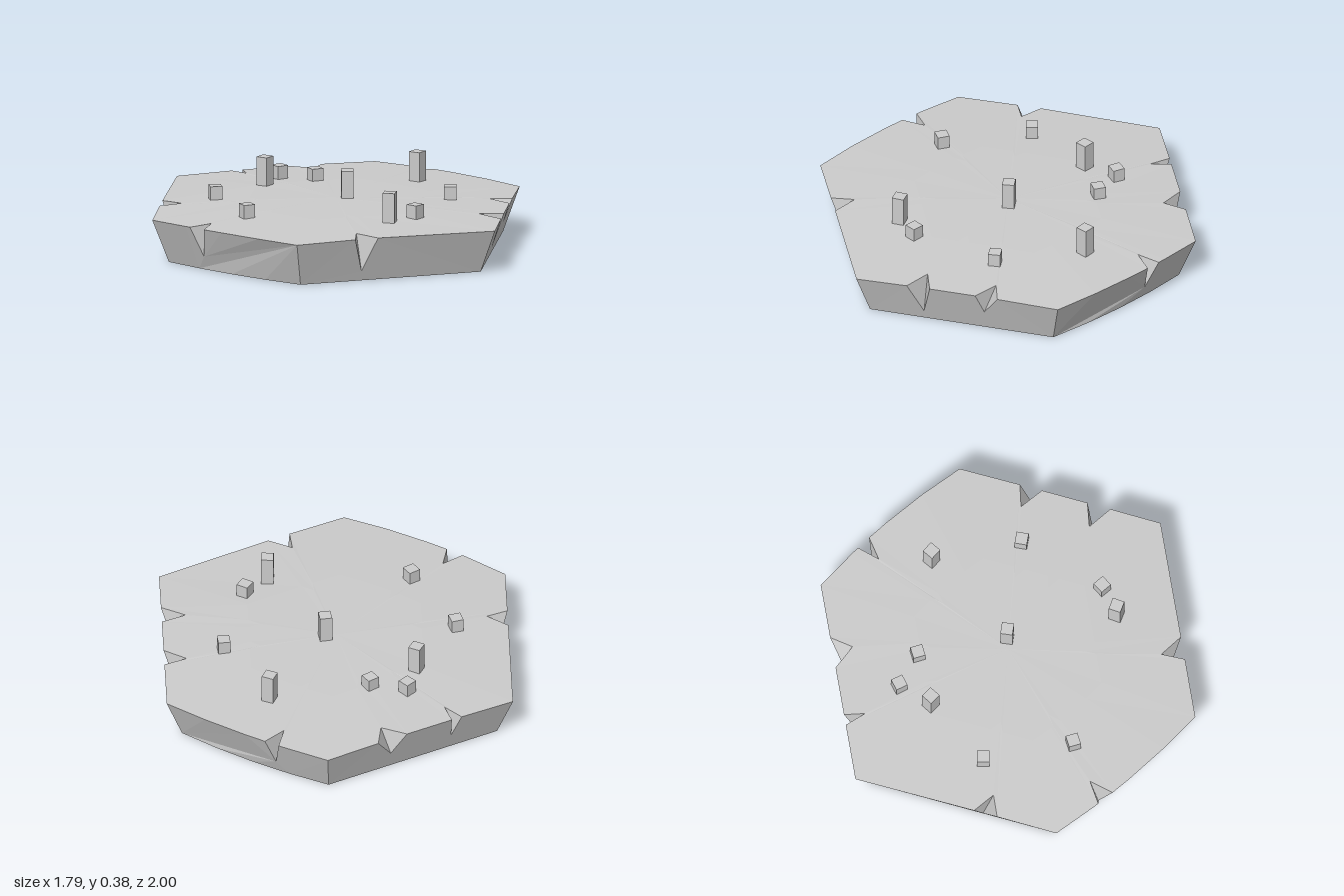
import * as THREE from 'three';

const HEX = [[0, 1], [0.865, 0.455], [0.865, -0.455], [0, -1], [-0.865, -0.455], [-0.865, 0.455]];
const BASE_SCALE = 0.91;

// Notches per hexagon edge: rim start u, rim end u, low point u, low point height, inner tip x, z
const NOTCHES = [
  [[0.25, 0.364, 0.305, 0.05, 0.215, 0.725], [0.59, 0.7, 0.63, 0.11, 0.515, 0.545]],
  [[0.626, 0.709, 0.67, 0.07, 0.775, -0.155]],
  [[0.272, 0.428, 0.355, 0.1, 0.52, -0.555], [0.67, 0.723, 0.7, 0.09, 0.22, -0.74]],
  [[0.59, 0.705, 0.627, 0.077, -0.515, -0.555]],
  [[0.28, 0.379, 0.32, 0.07, -0.775, -0.155]],
  [[0.295, 0.41, 0.335, 0.05, -0.515, 0.545]],
];

// Posts: x, z, top height, turn in degrees
const POSTS = [
  [0.045, 0.035, 0.38, 40], [0.035, -0.475, 0.38, 5], [-0.22, 0.515, 0.38, 28], [0.595, 0.03, 0.38, 7],
  [-0.58, -0.09, 0.3, -25], [-0.35, -0.475, 0.3, -42], [-0.07, 0.555, 0.3, 0],
  [0.21, -0.525, 0.3, -15], [0.27, -0.35, 0.3, -25], [0.37, 0.42, 0.3, 38],
];

// Shallow dome of the top surface
const topY = (x, z) => 0.245 - 0.03 * (x * x + z * z);
const topPoint = (x, z) => new THREE.Vector3(x, topY(x, z), z);

// Point on a sloping side wall: u along the edge, v from base to rim
function wallPoint(edge, u, v) {
  const a = HEX[edge], b = HEX[(edge + 1) % 6];
  const s = THREE.MathUtils.lerp(BASE_SCALE, 1, v);
  const bulge = edge % 3 === 1 ? Math.sign(a[0]) * 0.028 * 4 * u * (1 - u) : 0;
  const x = THREE.MathUtils.lerp(a[0], b[0], u) + bulge;
  const z = THREE.MathUtils.lerp(a[1], b[1], u);
  return new THREE.Vector3(x * s, topY(x, z) * v, z * s);
}

function meshFrom(name, points, material) {
  const geometry = new THREE.BufferGeometry().setFromPoints(points);
  geometry.computeVertexNormals();
  const mesh = new THREE.Mesh(geometry, material);
  mesh.name = name;
  return mesh;
}

export function createModel() {
  const group = new THREE.Group();
  group.name = 'hexagonalPlatform';
  const material = new THREE.MeshStandardMaterial({ color: 0xcccccc, flatShading: true });
  const walls = [], cuts = [], top = [], base = [], rim = [], foot = [];

  NOTCHES.forEach((notches, edge) => {
    const steps = edge % 3 === 1 ? [0, 0.25, 0.5, 0.75] : [0];

    // Rim outline, with each notch stepping in to its tip
    const onRim = steps.map((u) => ({ u, p: wallPoint(edge, u, 1) }));
    const onWall = [...steps, 1].map((u) => [u, 1]);
    for (const [u0, u1, uLow, yLow, tx, tz] of notches) {
      const vLow = yLow / 0.22;
      const a = wallPoint(edge, u0, 1), b = wallPoint(edge, u1, 1);
      const low = wallPoint(edge, uLow, vLow), tip = topPoint(tx, tz);
      onRim.push({ u: u0, p: a }, { u: (u0 + u1) / 2, p: tip }, { u: u1, p: b });
      onWall.push([u0, 1], [uLow, vLow], [u1, 1]);
      cuts.push(a, low, tip, low, b, tip);
    }
    onRim.sort((m, n) => m.u - n.u).forEach((r) => rim.push(r.p));
    onWall.sort((m, n) => n[0] - m[0]);

    // Side wall, triangulated flat and then placed on the slope
    const outline = [...steps, 1].map((u) => [u, 0]).concat(onWall).map(([u, v]) => new THREE.Vector2(u, v));
    for (const face of THREE.ShapeUtils.triangulateShape(outline, [])) {
      face.forEach((i) => walls.push(wallPoint(edge, outline[i].x, outline[i].y)));
    }
    steps.forEach((u) => foot.push(wallPoint(edge, u, 0)));
  });

  // Domed top: inner fan plus an outer ring
  const centre = topPoint(0, 0);
  rim.forEach((p, i) => {
    const q = rim[(i + 1) % rim.length];
    const pm = topPoint(p.x / 2, p.z / 2), qm = topPoint(q.x / 2, q.z / 2);
    top.push(centre, pm, qm, pm, p, q, pm, q, qm);
  });

  // Flat underside
  foot.forEach((p, i) => base.push(new THREE.Vector3(), foot[(i + 1) % foot.length], p));

  group.add(
    meshFrom('sideWalls', walls, material),
    meshFrom('notches', cuts, material),
    meshFrom('topSurface', top, material),
    meshFrom('underside', base, material),
  );

  // Short and tall square posts standing on the top
  const posts = new THREE.Group();
  posts.name = 'posts';
  for (const [x, z, height, turn] of POSTS) {
    const bottom = topY(x, z) - 0.01;
    const post = new THREE.Mesh(new THREE.BoxGeometry(0.06, height - bottom, 0.06), material);
    post.name = height > 0.35 ? 'tallPost' : 'shortPost';
    post.position.set(x, (height + bottom) / 2, z);
    post.rotation.y = THREE.MathUtils.degToRad(turn);
    posts.add(post);
  }
  group.add(posts);
  return group;
}
